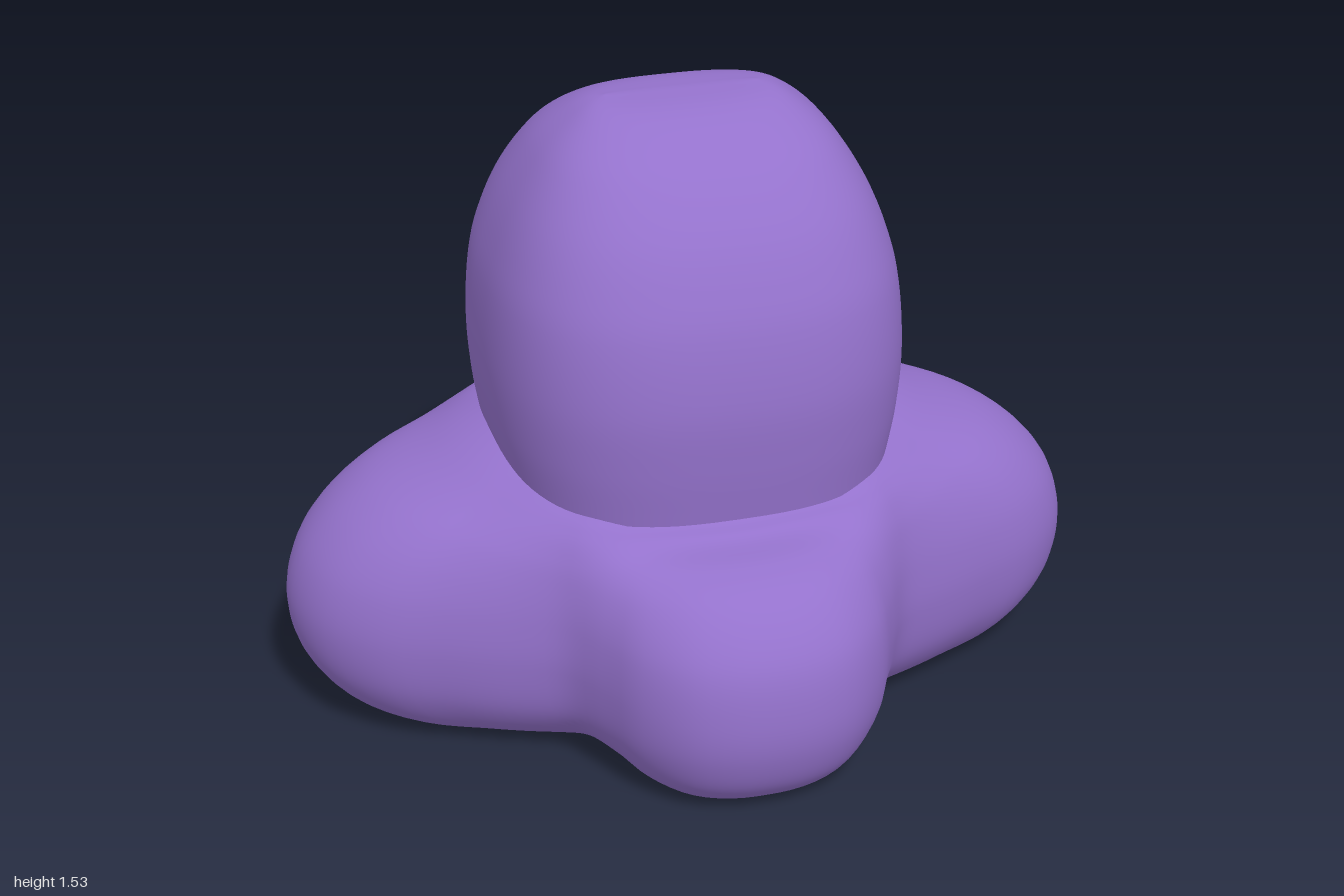
import * as THREE from 'three';
import { mergeVertices } from 'three/addons/utils/BufferGeometryUtils.js';

const V = (x, y, z = 0) => new THREE.Vector3(x, y, z);
const spline = (pts) => new THREE.CatmullRomCurve3(pts.map((p) => V(...p)));

// Smooth closed skin: point(angle, t) gives the ring at t from bottom to top
function skin(point, rows, cols) {
  const pos = [], index = [];
  for (let j = 0; j <= rows; j++) {
    for (let i = 0; i < cols; i++) {
      pos.push(...point((i / cols) * Math.PI * 2, j / rows).toArray());
      if (j === rows) continue;
      const a = j * cols + i, b = j * cols + ((i + 1) % cols);
      index.push(a, b, a + cols, b, b + cols, a + cols);
    }
  }
  let geo = new THREE.BufferGeometry();
  geo.setAttribute('position', new THREE.Float32BufferAttribute(pos, 3));
  geo.setIndex(index);
  geo = mergeVertices(geo, 1e-4);
  geo.computeVertexNormals();
  return geo;
}

// Base: four rounded lobes. Each profile is (radius, height) from below to above
const sideLobe = spline([[0, 0], [0.74, 0], [0.89, 0.06], [0.975, 0.17], [1, 0.3], [0.97, 0.42],
  [0.9, 0.515], [0.8, 0.588], [0.65, 0.645], [0.48, 0.7], [0, 0.72]]);
const endLobe = spline([[0, 0], [0.69, 0], [0.785, 0.07], [0.83, 0.17], [0.84, 0.28], [0.812, 0.42],
  [0.72, 0.535], [0.62, 0.578], [0.51, 0.596], [0.47, 0.63], [0, 0.66]]);
const valley = spline([[0, 0], [0.44, 0], [0.54, 0.045], [0.62, 0.14], [0.65, 0.28], [0.648, 0.4],
  [0.635, 0.49], [0.615, 0.56], [0.58, 0.62], [0.53, 0.655], [0, 0.69]]);

// Plan outline of one quarter as (angle in degrees, radius), mirrored at both ends
const plan = [[0, 1], [7, 0.983], [12.1, 0.952], [18.7, 0.888], [27, 0.788], [42, 0.673], [50, 0.65],
  [59.7, 0.695], [66.8, 0.757], [75.8, 0.817], [83.1, 0.837], [90, 0.84]];
const planCurve = spline([[-7, 0.983], ...plan, [96.9, 0.837]]);
const planPoints = planCurve.getPoints(400);
function planRadius(deg) {
  const k = planPoints.findIndex((p, n) => n > 0 && p.x >= deg);
  const a = planPoints[k - 1], b = planPoints[k];
  return THREE.MathUtils.mapLinear(deg, a.x, b.x, a.y, b.y);
}

function basePoint(angle, t) {
  const c = Math.cos(angle), s = Math.sin(angle);
  const deg = THREE.MathUtils.radToDeg(Math.atan2(Math.abs(s), Math.abs(c)));
  const [lobe, reach] = deg < 50 ? [sideLobe, 0.35] : [endLobe, 0.19];
  const w = Math.max(0, (planRadius(deg) - 0.65) / reach);
  const p = valley.getPoint(t).lerp(lobe.getPoint(t), w);
  const r = Math.max(0, p.x);
  return V(r * c, Math.max(0, p.y), -r * s);
}

// Dome: rounded-square rings (half width, height, half depth) closing to a short ridge
const dome = spline([[0.475, 0.64, 0.502], [0.498, 0.78, 0.517], [0.506, 0.93, 0.522], [0.493, 1.1, 0.495],
  [0.468, 1.2, 0.457], [0.428, 1.3, 0.402], [0.368, 1.4, 0.318], [0.325, 1.45, 0.257],
  [0.262, 1.5, 0.163], [0.224, 1.52, 0.097], [0.18, 1.53, 0]]);
const bulge = (v) => Math.sign(v) * Math.abs(v) ** (2 / 2.7);

function domePoint(angle, t) {
  const p = dome.getPoint(t);
  return V(p.x * bulge(Math.cos(angle)), p.y, -Math.max(0, p.z) * bulge(Math.sin(angle)));
}

export function createModel() {
  const model = new THREE.Group();
  const purple = new THREE.MeshStandardMaterial({ color: 0x9472cc });
  purple.name = 'purple';

  const add = (name, geometry) => {
    const mesh = new THREE.Mesh(geometry, purple);
    mesh.name = name;
    model.add(mesh);
  };

  add('lobedBase', skin(basePoint, 70, 160));
  add('dome', skin(domePoint, 60, 96));

  // Underside of the dome, just above the notch in the base
  const rim = [];
  for (let i = 0; i < 96; i++) {
    const p = domePoint((i / 96) * Math.PI * 2, 0);
    rim.push(new THREE.Vector2(p.x, p.z));
  }
  const underside = new THREE.ShapeGeometry(new THREE.Shape(rim));
  underside.rotateX(Math.PI / 2).translate(0, 0.64, 0);
  add('domeUnderside', underside);
  return model;
}
